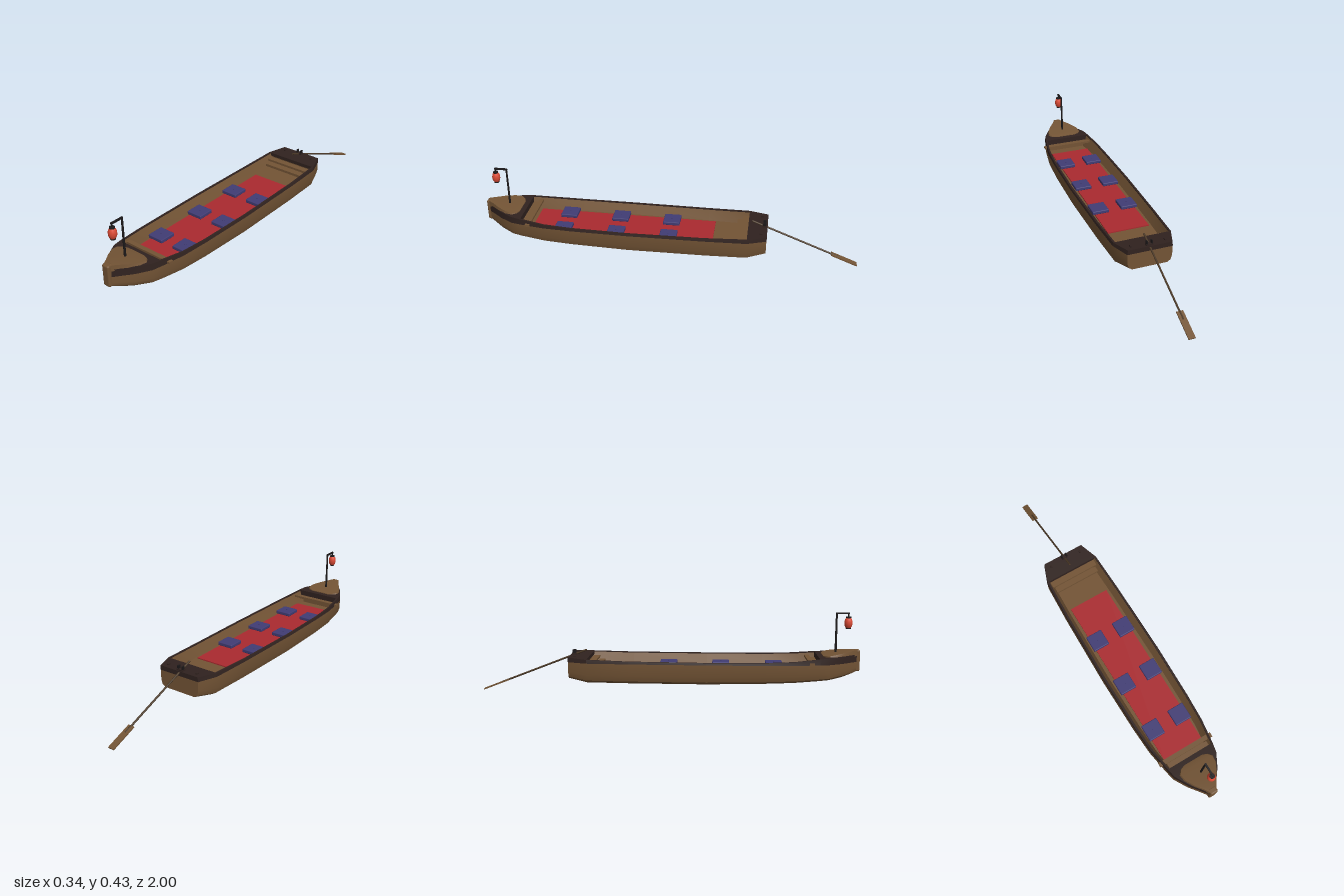
import * as THREE from 'three';
import { toCreasedNormals } from 'three/addons/utils/BufferGeometryUtils.js';
import { RoundedBoxGeometry } from 'three/addons/geometries/RoundedBoxGeometry.js';

const mat = (name, color, side = THREE.FrontSide) => {
  const m = new THREE.MeshStandardMaterial({ color, side });
  m.name = name;
  return m;
};

// Hull stations: z, half width, keel height, sheer height
const STATIONS = [
  [-0.52, 0.118, 0.086, 0.2], [-0.42, 0.155, 0.069, 0.194], [-0.2, 0.164, 0.068, 0.188],
  [0.2, 0.17, 0.068, 0.186], [0.5, 0.165, 0.074, 0.188], [0.65, 0.157, 0.079, 0.193],
  [0.78, 0.136, 0.087, 0.205], [0.83, 0.125, 0.091, 0.209], [0.9, 0.085, 0.102, 0.212],
  [0.95, 0.045, 0.114, 0.213], [0.985, 0.019, 0.126, 0.213],
];
const BAND = 0.175, FLOOR = 0.13;

function station(z) {
  let i = 0;
  while (i < STATIONS.length - 2 && z > STATIONS[i + 1][0]) i++;
  const a = STATIONS[i], b = STATIONS[i + 1];
  const t = (z - a[0]) / (b[0] - a[0]);
  return a.map((v, k) => v + (b[k] - v) * t);
}

// All stations between two z values, including both ends
const span = (z0, z1) => [
  station(z0), ...STATIONS.filter((s) => s[0] > z0 + 1e-4 && s[0] < z1 - 1e-4), station(z1),
];

// Skin cross-sections ({z, pts}); optionally close the loop and cap the ends
function loft(sections, { closed = false, caps = false, crease = 0.6 } = {}) {
  const pos = [], index = [];
  const n = sections[0].pts.length;
  for (const s of sections) for (const [x, y] of s.pts) pos.push(x, y, s.z);
  for (let i = 0; i < sections.length - 1; i++) {
    for (let j = 0; j < (closed ? n : n - 1); j++) {
      const a = i * n + j, b = i * n + ((j + 1) % n);
      index.push(a, b, a + n, b, b + n, a + n);
    }
  }
  if (caps) {
    const e = (sections.length - 1) * n;
    for (let j = 1; j < n - 1; j++) index.push(0, j + 1, j, e, e + j, e + j + 1);
  }
  const g = new THREE.BufferGeometry();
  g.setAttribute('position', new THREE.Float32BufferAttribute(pos, 3));
  g.setIndex(index);
  return toCreasedNormals(g, crease);
}

// Mirror a half section (listed from +x edge inward) into a full one
const mirror = (half) => [...half.map(([x, y]) => [-x, y]), ...half.slice().reverse()];

export function createModel() {
  const wood = mat('brown wood', 0x735435, THREE.DoubleSide);
  const trim = mat('dark trim', 0x30221f, THREE.DoubleSide);
  const black = mat('black iron', 0x1b1819);
  const oarWood = mat('oar wood', 0x4a3826);
  const red = mat('red carpet', 0xaa2a2f);
  const blue = mat('blue cushion', 0x413c74);
  const paper = mat('lantern paper', 0xdb4a35);

  const boat = new THREE.Group();
  boat.name = 'boat';
  const add = (name, geo, material, x = 0, y = 0, z = 0, parent = boat) => {
    const m = new THREE.Mesh(geo, material);
    m.name = name;
    m.position.set(x, y, z);
    parent.add(m);
    return m;
  };
  const box = (name, material, w, h, d, x, y, z, parent) =>
    add(name, new THREE.BoxGeometry(w, h, d), material, x, y, z, parent);

  // Outer hull with rounded bilge and flat transom
  const HALF = [[1, 1], [0.99, 0.42], [0.93, 0.14], [0.78, 0.01]];
  add('hull', loft(span(-0.52, 0.985).map(([z, w, yb]) => ({
    z, pts: mirror(HALF.map(([fx, fy]) => [w * fx, yb + fy * (BAND - yb)])),
  })), { caps: true }), wood);

  // Inner walls and floor
  add('innerHull', loft(span(-0.43, 0.79).map(([z, w, , yt]) => ({
    z, pts: mirror([[w * 0.93, yt - 0.001], [w * 0.78, FLOOR]]),
  })), { caps: true, crease: 0.4 }), wood);

  // Dark gunwale along both sides
  for (const s of [-1, 1]) {
    add(s > 0 ? 'leftGunwale' : 'rightGunwale', loft(span(-0.42, 0.78).map(([z, w, , yt]) => ({
      z, pts: [[w * 1.004, BAND], [w * 0.985, yt], [w * 0.92, yt], [w * 0.92, yt - 0.008]].map(([x, y]) => [s * x, y]),
    }))), trim);
  }

  // Solid dark decks at the stern and bow
  const deck = (name, z0, z1) => add(name, loft(span(z0, z1).map(([z, w, , yt]) => ({
    z, pts: mirror([[w * 0.985, yt], [w * 1.004, BAND]]),
  })), { closed: true, caps: true }), trim);
  deck('sternDeck', -0.521, -0.42);
  deck('bowBand', 0.78, 0.986);

  // Raised bow deck, rising toward the stem: z, half width, height
  const BOW = [[0.805, 0.055, 0.211], [0.815, 0.082, 0.214], [0.835, 0.1, 0.217],
    [0.87, 0.096, 0.223], [0.92, 0.068, 0.23], [0.96, 0.036, 0.236], [0.988, 0.019, 0.238]];
  add('bowDeck', loft(BOW.map(([z, w, h]) => ({
    z, pts: mirror([[w * 0.5, h], [w * 0.94, h - 0.001], [w, 0.206]]),
  })), { closed: true, caps: true }), wood);
  add('stem', new RoundedBoxGeometry(0.042, 0.114, 0.034, 3, 0.009), wood, 0, 0.181, 0.983);

  // Planks and cross beams at both ends of the well
  box('sternBench', wood, 0.272, 0.012, 0.034, 0, 0.164, -0.404);
  box('sternStep', wood, 0.256, 0.014, 0.03, 0, 0.145, -0.372);
  box('bowBench', wood, 0.235, 0.012, 0.03, 0, 0.168, 0.768);
  box('bowBeam', wood, 0.31, 0.011, 0.024, 0, 0.181, 0.738);

  // Carpet and two rows of cushions
  box('carpet', red, 0.225, 0.006, 0.97, 0, 0.133, 0.245);
  for (const z of [-0.005, 0.275, 0.56]) {
    for (const x of [-0.08, 0.08]) {
      add('cushion', new RoundedBoxGeometry(0.09, 0.019, 0.09, 2, 0.004), blue, x, 0.145, z);
      add('cushionButton', new THREE.CylinderGeometry(0.004, 0.004, 0.003, 8), blue, x, 0.155, z);
    }
  }

  // Lantern on its hooked post
  const lamp = new THREE.Group();
  lamp.name = 'lanternPost';
  boat.add(lamp);
  add('post', new THREE.CylinderGeometry(0.005, 0.006, 0.22, 8), black, 0, 0.32, 0.875, lamp);
  box('arm', black, 0.009, 0.008, 0.07, 0, 0.427, 0.906, lamp);
  box('hook', black, 0.005, 0.022, 0.005, 0, 0.415, 0.936, lamp);
  const profile = [[0.012, -0.027], [0.018, -0.018], [0.021, -0.006], [0.021, 0.006], [0.018, 0.018], [0.012, 0.027]]
    .map(([x, y]) => new THREE.Vector2(x, y));
  add('lantern', new THREE.LatheGeometry(profile, 14), paper, 0, 0.377, 0.936, lamp);
  for (const y of [0.35, 0.406]) {
    add('lanternCap', new THREE.CylinderGeometry(0.0135, 0.0135, 0.007, 12), black, 0, y, 0.936, lamp);
  }

  // Steering oar trailing from the stern
  const slope = -0.372;
  const shaft = add('oarShaft', new THREE.CylinderGeometry(0.005, 0.005, 0.5, 8), oarWood, 0, 0.132, -0.672);
  shaft.rotation.x = Math.PI / 2 + slope;
  box('oarBlade', wood, 0.034, 0.006, 0.147, 0, 0.0305, -0.931).rotation.x = slope;

  // Oar rest and small deck studs
  box('oarRest', trim, 0.036, 0.01, 0.022, 0, 0.202, -0.505);
  for (const s of [-1, 1]) {
    box('oarPin', black, 0.007, 0.024, 0.016, s * 0.013, 0.211, -0.505);
    box('deckStud', trim, 0.008, 0.008, 0.016, s * 0.09, 0.201, -0.49);
  }
  return boat;
}
